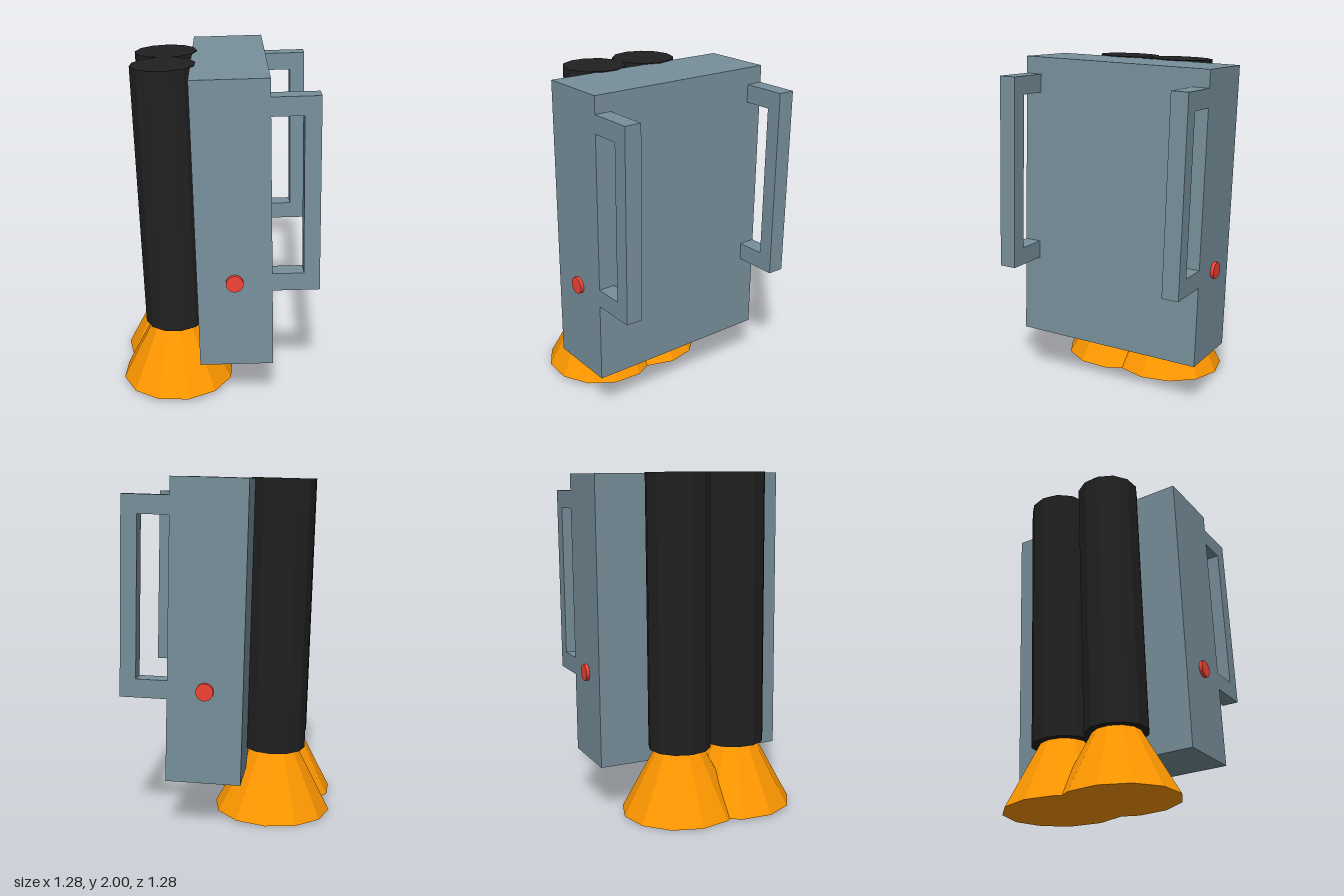
import * as THREE from 'three';

const material = (color) => new THREE.MeshStandardMaterial({ color, flatShading: true });

function addMesh(parent, name, geometry, mat, x, y, z) {
  const mesh = new THREE.Mesh(geometry, mat);
  mesh.name = name;
  mesh.position.set(x, y, z);
  parent.add(mesh);
  return mesh;
}

export function createModel() {
  const shell = material(0x78909c);
  const black = material(0x212121);
  const orange = material(0xff9800);
  const red = material(0xf44336);

  const W = 0.425, H = 1.69, D = 1.163;
  const pack = new THREE.Group();
  pack.name = 'pack';

  // Main case
  addMesh(pack, 'case', new THREE.BoxGeometry(W, H, D), shell, 0, 0, 0);

  // Two thruster tanks with flared nozzles
  for (const [z, twist] of [[0.203, 0.21], [-0.15, -0.05]]) {
    const thruster = new THREE.Group();
    thruster.name = 'thruster';
    thruster.position.set(-0.366, 0, z);
    thruster.rotation.y = twist;
    addMesh(thruster, 'tank', new THREE.CylinderGeometry(0.184, 0.184, 1.58, 12), black, 0, 0.06, 0);
    addMesh(thruster, 'nozzle', new THREE.CylinderGeometry(0.14, 0.345, 0.38, 12), orange, 0, -0.92, 0);
    pack.add(thruster);
  }

  // Handle and round button, mirrored front and back
  const reach = 0.265, bar = 0.09, depth = 0.1, top = 0.746, bottom = -0.37, armHeight = 0.105;
  for (const side of [1, -1]) {
    const handle = new THREE.Group();
    handle.name = 'handle';
    handle.position.set(W / 2, 0, side * (D / 2 - depth / 2));
    const arm = new THREE.BoxGeometry(reach, armHeight, depth);
    addMesh(handle, 'upperArm', arm, shell, reach / 2, top - armHeight / 2, 0);
    addMesh(handle, 'lowerArm', arm, shell, reach / 2, bottom + armHeight / 2, 0);
    addMesh(handle, 'grip', new THREE.BoxGeometry(bar, top - bottom - 2 * armHeight, depth), shell,
      reach - bar / 2, (top + bottom) / 2, 0);
    pack.add(handle);

    const button = addMesh(pack, 'button', new THREE.CylinderGeometry(0.05, 0.05, 0.04, 16), red,
      0, -0.316, side * D / 2);
    button.rotation.x = Math.PI / 2;
  }

  // Slight lean and turn of the whole pack
  const right = new THREE.Vector3(0.988, 0.03, 0.151).normalize();
  const front = new THREE.Vector3(-0.151, 0.0215, 0.988).normalize();
  const up = new THREE.Vector3().crossVectors(front, right).normalize();
  front.crossVectors(right, up);
  pack.quaternion.setFromRotationMatrix(new THREE.Matrix4().makeBasis(right, up, front));
  pack.position.set(0.083, 1.138, -0.016);

  const model = new THREE.Group();
  model.name = 'thrusterPack';
  model.add(pack);
  return model;
}
